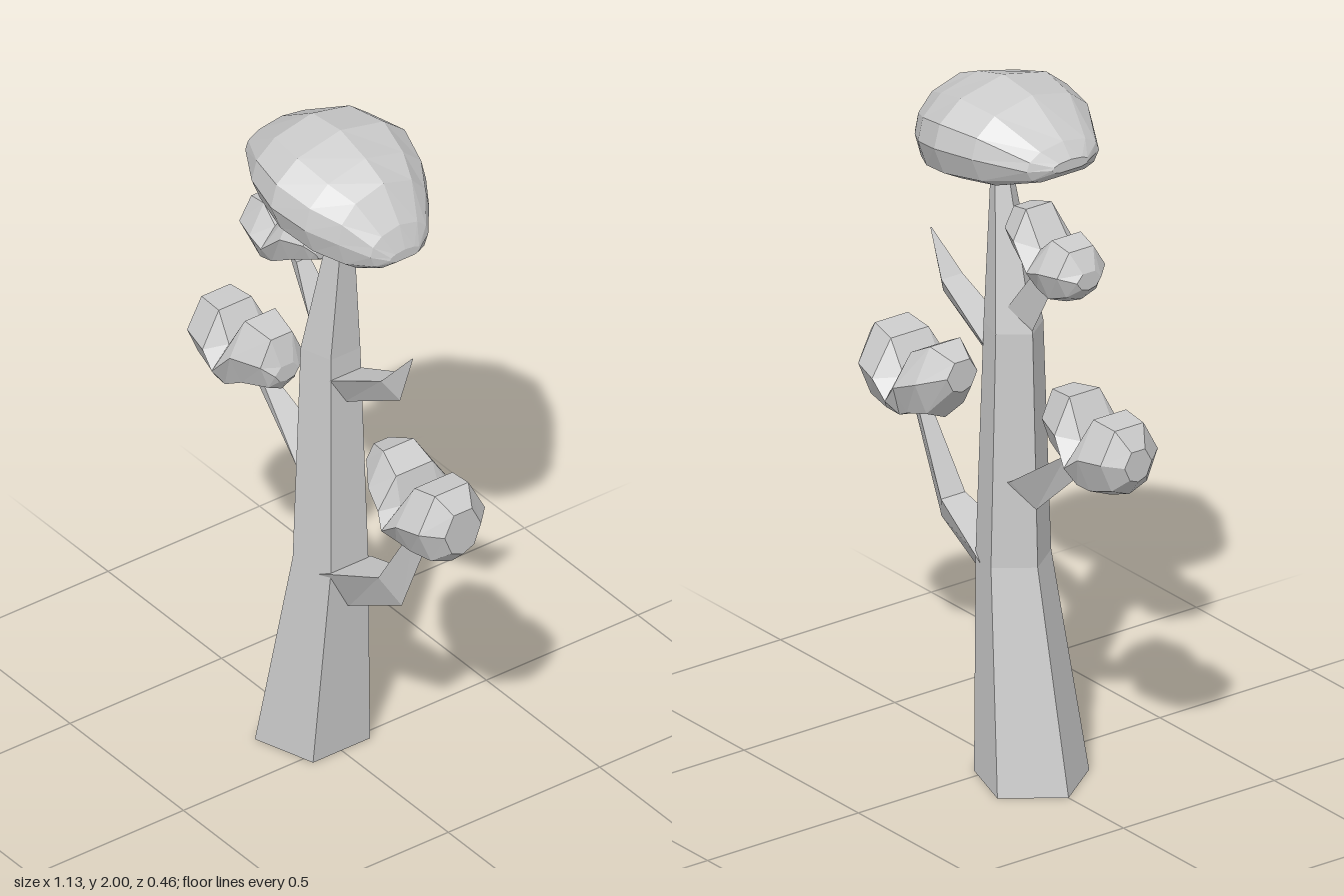
import * as THREE from 'three';

const material = new THREE.MeshStandardMaterial({
  color: 0xcccccc, flatShading: true, side: THREE.DoubleSide,
});

// Skin a list of rings (each a list of [x, y, z]); rings run counterclockwise about the travel direction.
function loft(name, rings, capStart, capEnd) {
  const n = rings[0].length;
  const pos = [];
  const tri = (a, b, c) => pos.push(...a, ...b, ...c);
  for (let i = 0; i < rings.length - 1; i++) {
    for (let j = 0; j < n; j++) {
      const k = (j + 1) % n;
      const [a, b] = [rings[i], rings[i + 1]];
      tri(a[j], a[k], b[j]);
      tri(a[k], b[k], b[j]);
    }
  }
  const first = rings[0], last = rings[rings.length - 1];
  for (let j = 1; j < n - 1; j++) {
    if (capStart) tri(first[0], first[j + 1], first[j]);
    if (capEnd) tri(last[0], last[j], last[j + 1]);
  }
  const geometry = new THREE.BufferGeometry();
  geometry.setAttribute('position', new THREE.Float32BufferAttribute(pos, 3));
  geometry.computeVertexNormals();
  const mesh = new THREE.Mesh(geometry, material);
  mesh.name = name;
  return mesh;
}

// Pentagonal trunk, ridge toward -x, open underneath; rings are [centre x, y, radius]
function trunk() {
  const rings = [[-0.10, 0, 0.16], [-0.02, 0.62, 0.105], [-0.02, 1.29, 0.083], [0.045, 1.82, 0.018]];
  return loft('trunk', rings.map(([cx, y, r]) =>
    Array.from({ length: 5 }, (_, i) => {
      const a = (i / 5) * Math.PI * 2;
      return [cx - r * Math.cos(a), y, r * Math.sin(a)];
    })), false, true);
}

// Triangular branch, flat on top with a keel below; joints are [top x, top y, keel x, keel y, half width]
function branch(name, joints) {
  const toLeft = joints[0][0] < joints[joints.length - 1][0];
  return loft(name, joints.map(([tx, ty, kx, ky, w]) => {
    const ring = [[tx, ty, w], [kx, ky, 0], [tx, ty, -w]];
    return toLeft ? ring : ring.reverse();
  }), true, true);
}

// Half of a foliage cross-section: [fraction of half width, fraction of height]
const puffSection = [[0.5, 1], [1, 0.55], [0.62, 0.12], [0, 0]];
const crownSection = [[0, 1], [0.62, 0.88], [0.92, 0.67], [1, 0.42], [0.86, 0.12], [0.6, 0]];

// Foliage skinned along x; stations are [x, bottom y, top y, half width]
function foliage(name, section, stations) {
  const mirrored = section.filter(([w]) => w > 0).reverse().map(([w, h]) => [-w, h]);
  const outline = [...section, ...mirrored];
  return loft(name, stations.map(([x, y0, y1, w]) =>
    outline.map(([u, v]) => [x, y0 + (y1 - y0) * v, w * u])), true, true);
}

export function createModel() {
  const tree = new THREE.Group();
  tree.name = 'tree';
  tree.add(
    trunk(),

    // Branches
    branch('lowerLeftBranch', [
      [0.03, 0.60, 0.03, 0.47, 0.075], [0.07, 0.62, 0.065, 0.487, 0.07],
      [0.245, 0.695, 0.295, 0.617, 0.04], [0.375, 0.92, 0.425, 0.92, 0.02],
    ]),
    branch('upperLeftBranch', [
      [0.01, 1.205, 0.045, 1.135, 0.055], [0.25, 1.33, 0.288, 1.275, 0.035], [0.342, 1.44, 0.344, 1.438, 0.002],
    ]),
    branch('lowerRightBranch', [
      [-0.04, 0.85, -0.06, 0.74, 0.065], [-0.085, 0.872, -0.118, 0.785, 0.06], [-0.28, 1.01, -0.37, 1.01, 0.022],
    ]),
    branch('upperRightBranch', [
      [-0.02, 1.33, -0.06, 1.25, 0.05], [-0.05, 1.36, -0.105, 1.305, 0.045], [-0.14, 1.49, -0.205, 1.48, 0.022],
    ]),

    // Notched foliage clumps
    foliage('lowerLeftFoliage', puffSection, [
      [0.205, 1.01, 1.10, 0.05], [0.28, 0.91, 1.128, 0.10], [0.35, 0.893, 1.09, 0.12],
      [0.375, 0.89, 1.01, 0.128], [0.435, 0.877, 1.10, 0.125], [0.515, 0.885, 1.115, 0.11],
      [0.565, 0.935, 1.07, 0.06],
    ]),
    foliage('lowerRightFoliage', puffSection, [
      [-0.565, 1.03, 1.12, 0.045], [-0.525, 0.98, 1.175, 0.095], [-0.44, 0.948, 1.18, 0.108],
      [-0.39, 0.96, 1.10, 0.115], [-0.33, 0.985, 1.205, 0.10], [-0.235, 1.02, 1.19, 0.07],
      [-0.21, 1.06, 1.11, 0.04],
    ]),
    foliage('upperRightFoliage', puffSection, [
      [-0.35, 1.51, 1.56, 0.04], [-0.315, 1.47, 1.615, 0.08], [-0.25, 1.44, 1.63, 0.095],
      [-0.20, 1.46, 1.585, 0.095], [-0.13, 1.495, 1.675, 0.085], [-0.06, 1.535, 1.657, 0.06],
      [-0.04, 1.55, 1.60, 0.035],
    ]),

    // Wide drooping crown
    foliage('crown', crownSection, [
      [-0.27, 1.83, 1.86, 0.06], [-0.235, 1.80, 1.90, 0.12], [-0.10, 1.755, 1.985, 0.20],
      [0.025, 1.735, 2.0, 0.23], [0.135, 1.712, 1.97, 0.20], [0.215, 1.70, 1.935, 0.15],
      [0.285, 1.725, 1.84, 0.095], [0.31, 1.745, 1.775, 0.05],
    ]),
  );
  return tree;
}
